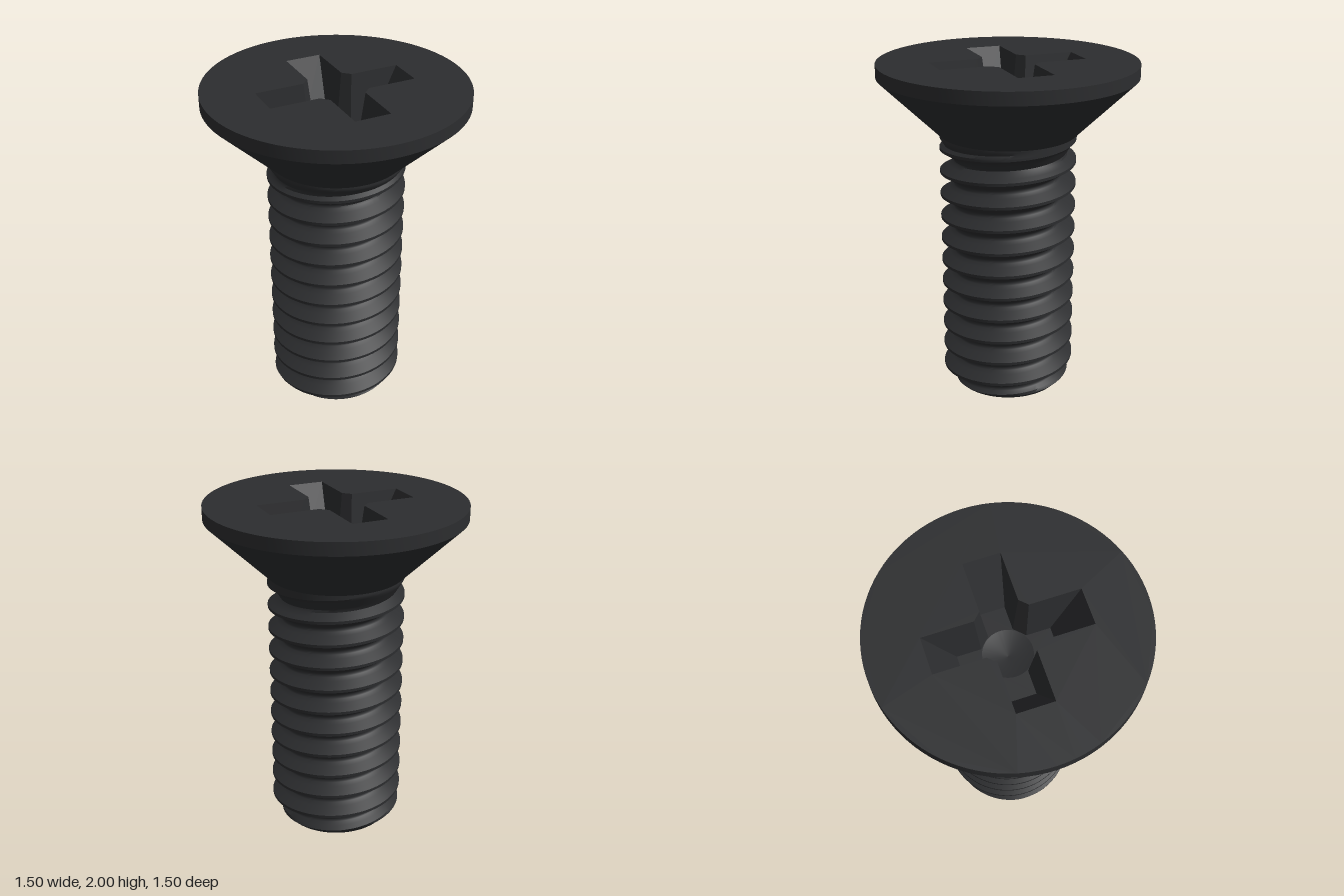
import * as THREE from 'three';
import { toCreasedNormals } from 'three/addons/utils/BufferGeometryUtils.js';

const TAU = Math.PI * 2;
const SEG = 96;
const PITCH = 0.14;
const NECK_Y = 1.585;
const RECESS_FLOOR = 1.7;

// One thread pitch, crest to crest: [fraction of pitch, radius]
const THREAD = [
  [0, 0.4], [0.06, 0.4], [0.17, 0.375], [0.29, 0.347], [0.4, 0.322], [0.46, 0.316],
  [0.54, 0.316], [0.6, 0.322], [0.71, 0.347], [0.83, 0.375], [0.94, 0.4], [1, 0.4],
];

function threadRadius(y, angle) {
  let u = y / PITCH - angle / TAU;
  u -= Math.floor(u);
  let k = 0;
  while (k < THREAD.length - 2 && u > THREAD[k + 1][0]) k++;
  const [u0, r0] = THREAD[k];
  const [u1, r1] = THREAD[k + 1];
  let r = r0 + ((r1 - r0) * (u - u0)) / (u1 - u0);
  r = Math.max(r, 0.315 + 0.62 * (y - 1.43)); // groove runs out under the head
  return Math.min(r, 0.4, 0.325 + y); // chamfered tip
}

function fromTriangles(positions) {
  const g = new THREE.BufferGeometry();
  g.setAttribute('position', new THREE.Float32BufferAttribute(positions, 3));
  return g;
}

// Rows follow the helix and are clamped to the shank's two ends
function shankGeometry() {
  const levels = [];
  for (let turn = -2; turn <= 12; turn++) {
    for (const [u] of THREAD.slice(0, -1)) levels.push((turn + u) * PITCH);
  }
  const point = (i, level) => {
    const a = (i / SEG) * TAU;
    const y = Math.min(Math.max(level + (PITCH * i) / SEG, 0), NECK_Y);
    const r = threadRadius(y, a);
    return new THREE.Vector3(r * Math.cos(a), y, -r * Math.sin(a));
  };
  const out = [];
  const triangle = new THREE.Triangle();
  const add = (a, b, c) => {
    triangle.set(a, b, c);
    if (triangle.getArea() > 1e-9) out.push(...a, ...b, ...c);
  };
  const tip = new THREE.Vector3(0, 0, 0);
  for (let i = 0; i < SEG; i++) {
    for (let j = 0; j < levels.length - 1; j++) {
      const a = point(i, levels[j]);
      const b = point(i + 1, levels[j]);
      const c = point(i + 1, levels[j + 1]);
      const d = point(i, levels[j + 1]);
      add(a, b, c);
      add(a, c, d);
    }
    add(tip, point(i + 1, -1), point(i, -1)); // flat end
  }
  return toCreasedNormals(fromTriangles(out), 0.7);
}

// Cross outline with bevelled inner corners, counter-clockwise
function crossOutline(reach, half, corner) {
  const arm = [[corner, -half], [reach, -half], [reach, half], [corner, half]];
  const points = [];
  for (let k = 0; k < 4; k++) {
    for (const [x, y] of arm) {
      points.push(new THREE.Vector2(x, y).rotateAround(new THREE.Vector2(), (k * Math.PI) / 2));
    }
  }
  return points;
}

function recessWalls(top, bottom) {
  const out = [];
  top.forEach((p, i) => {
    const n = (i + 1) % top.length;
    const a = [p.x, 2, -p.y];
    const b = [top[n].x, 2, -top[n].y];
    const c = [bottom[n].x, RECESS_FLOOR, -bottom[n].y];
    const d = [bottom[i].x, RECESS_FLOOR, -bottom[i].y];
    out.push(...a, ...b, ...c, ...a, ...c, ...d);
  });
  const g = fromTriangles(out);
  g.computeVertexNormals();
  return g;
}

function flatFace(shape, y) {
  return new THREE.ShapeGeometry(shape, SEG / 2).rotateX(-Math.PI / 2).translate(0, y, 0);
}

function lathe(profile, crease) {
  const points = profile.map(([x, y]) => new THREE.Vector2(x, y));
  return toCreasedNormals(new THREE.LatheGeometry(points, SEG), crease);
}

export function createModel() {
  const group = new THREE.Group();
  group.name = 'countersunkScrew';
  const material = new THREE.MeshStandardMaterial({ color: 0x2c2d2f });
  const add = (name, geometry) => {
    const mesh = new THREE.Mesh(geometry, material);
    mesh.name = name;
    group.add(mesh);
  };

  add('threadedShank', shankGeometry());

  // Countersunk cone and thin cylindrical rim
  add('headSide', lathe([[0.4, NECK_Y], [0.75, 1.925], [0.75, 2]], 0.5));

  // Flat top, pierced by the cross recess
  const topCross = crossOutline(0.435, 0.105, 0.148);
  const floorCross = crossOutline(0.265, 0.07, 0.128);
  const topShape = new THREE.Shape().absarc(0, 0, 0.75, 0, TAU);
  topShape.holes.push(new THREE.Path(topCross));
  add('headTop', flatFace(topShape, 2));
  add('recessWalls', recessWalls(topCross, floorCross));

  // Recess floor with a shallow conical pit
  const floorShape = new THREE.Shape(floorCross);
  floorShape.holes.push(new THREE.Path().absarc(0, 0, 0.139, 0, TAU, true));
  add('recessFloor', flatFace(floorShape, RECESS_FLOOR));
  add('recessPit', lathe([[0, RECESS_FLOOR - 0.04], [0.139, RECESS_FLOOR]], 0.5));
  group.getObjectByName('recessPit').material = material.clone();
  group.getObjectByName('recessPit').material.side = THREE.DoubleSide;

  return group;
}
